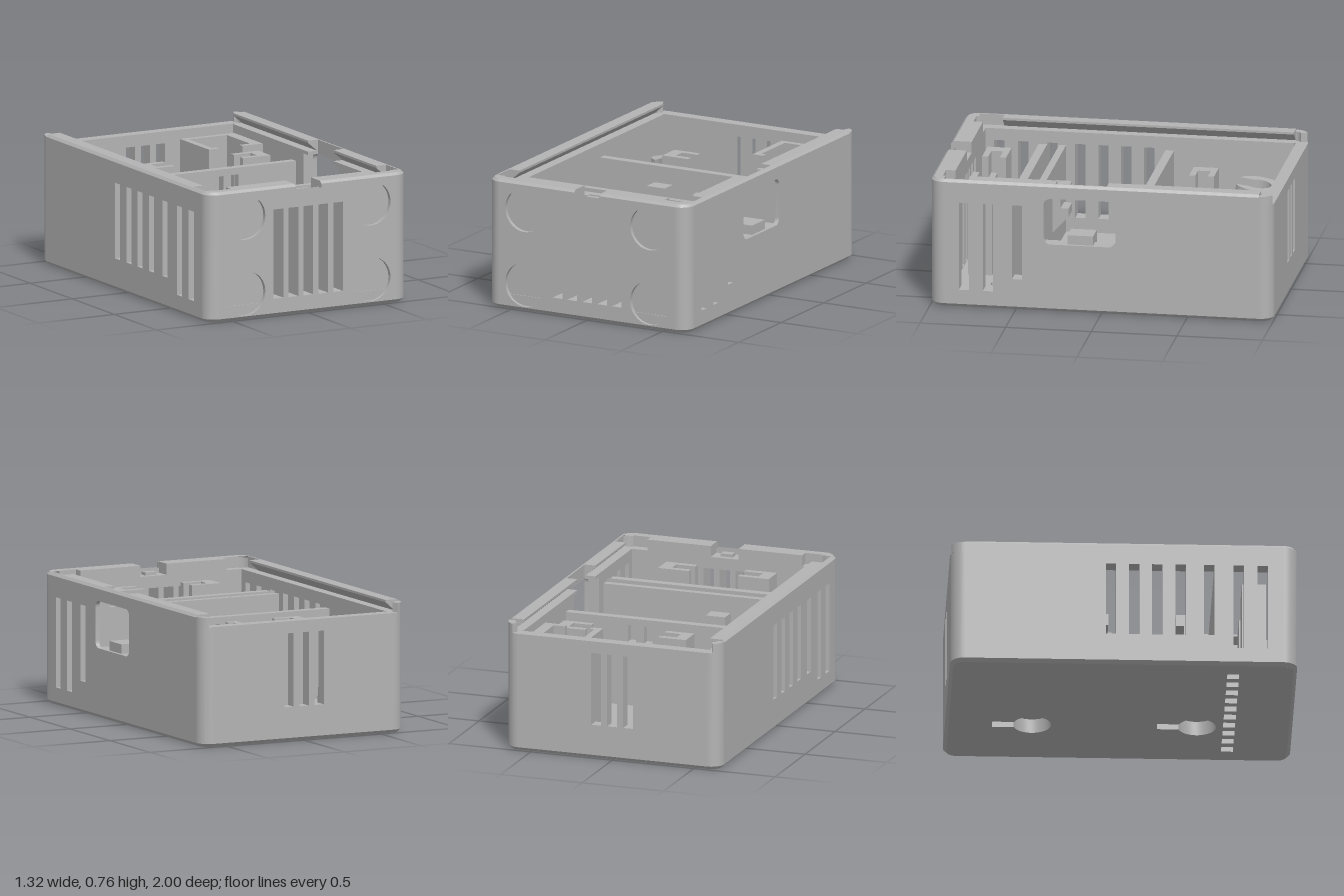
import * as THREE from 'three';
import { toCreasedNormals } from 'three/addons/utils/BufferGeometryUtils.js';

// Outline helpers
function rounded(P, x0, y0, x1, y1, r) {
  const p = new P();
  p.absarc(x1 - r, y0 + r, r, -Math.PI / 2, 0, false);
  p.absarc(x1 - r, y1 - r, r, 0, Math.PI / 2, false);
  p.absarc(x0 + r, y1 - r, r, Math.PI / 2, Math.PI, false);
  p.absarc(x0 + r, y0 + r, r, Math.PI, Math.PI * 1.5, false);
  p.closePath();
  return p;
}
const poly = (pts, P = THREE.Shape) => new P(pts.map(([a, b]) => new THREE.Vector2(a, b)));
const rect = (x0, y0, x1, y1, P) => poly([[x0, y0], [x1, y0], [x1, y1], [x0, y1]], P);
const hole = (x0, y0, x1, y1) => rect(x0, y0, x1, y1, THREE.Path);
function circle(x, y, r) {
  const p = new THREE.Path();
  p.absarc(x, y, r, 0, Math.PI * 2, false);
  return p;
}
function cut(shape, holes) { shape.holes.push(...holes); return shape; }

// Slabs: outline in (z,y), (x,z) or (x,y), thick along the remaining axis
const extrude = (s, d) => new THREE.ExtrudeGeometry(s, { depth: d, bevelEnabled: false, curveSegments: 20 });
const slabX = (s, x0, x1) => extrude(s, x1 - x0).rotateY(-Math.PI / 2).translate(x1, 0, 0);
const slabY = (s, y0, y1) => extrude(s, y1 - y0).rotateX(Math.PI / 2).translate(0, y1, 0);
const slabZ = (s, z0, z1) => extrude(s, z1 - z0).translate(0, 0, z0);
const box = (x0, x1, y0, y1, z0, z1) => slabZ(rect(x0, y0, x1, y1), z0, z1);

export function createModel() {
  const model = new THREE.Group();
  const grey = new THREE.MeshStandardMaterial({ color: 0xb3b3b3, side: THREE.DoubleSide });
  grey.name = 'greyPlastic';
  function add(name, geo, mirror = false) {
    const g = toCreasedNormals(geo, 0.6);
    for (const s of mirror ? [1, -1] : [1]) {
      const m = new THREE.Mesh(g, grey);
      m.name = name;
      m.scale.x = s;
      model.add(m);
    }
  }

  // Floor with a row of vents and two blind keyholes underneath
  const vents = () => Array.from({ length: 10 }, (_, i) => {
    const x = -0.495 + i * 0.11;
    return hole(x - 0.032, 0.6, x + 0.032, 0.67);
  });
  function keyhole(x, z) {
    const p = new THREE.Path();
    p.absarc(x, z, 0.11, -Math.PI / 2 + 0.32, Math.PI * 1.5 - 0.32, false);
    p.lineTo(x - 0.035, z - 0.23);
    p.lineTo(x + 0.035, z - 0.23);
    p.closePath();
    return p;
  }
  const base = () => rounded(THREE.Shape, -0.64, -0.98, 0.64, 0.98, 0.06);
  add('floorUnderside', slabY(cut(base(), [...vents(), keyhole(0.2, -0.5), keyhole(0.2, 0.45)]), 0, 0.085));
  add('floorTop', slabY(cut(rect(-0.6, -0.95, 0.6, 0.95), vents()), 0.085, 0.1));

  // Chamfer band between the floor outline and the walls
  const lower = base().getPoints(10);
  const upper = rounded(THREE.Shape, -0.66, -1, 0.66, 1, 0.08).getPoints(10);
  const pos = [], idx = [], n = lower.length;
  for (let i = 0; i < n; i++) {
    pos.push(lower[i].x, 0, lower[i].y, upper[i].x, 0.02, upper[i].y);
    const a = 2 * i, b = 2 * ((i + 1) % n);
    idx.push(a, a + 1, b, b, a + 1, b + 1);
  }
  const band = new THREE.BufferGeometry();
  band.setAttribute('position', new THREE.Float32BufferAttribute(pos, 3));
  band.setIndex(idx);
  band.computeVertexNormals();
  add('bottomChamfer', band);

  // Front wall: vent slots and four shallow round recesses
  const frontSlots = () => [-2, -1, 0, 1, 2].map(i => hole(i * 0.098 - 0.032, 0.105, i * 0.098 + 0.032, 0.63));
  const discs = [-0.412, 0.412].flatMap(x => [circle(x, 0.155, 0.129), circle(x, 0.6, 0.129)]);
  const frontPanel = () => rect(-0.58, 0.02, 0.58, 0.7);
  add('frontWallInner', slabZ(cut(frontPanel(), frontSlots()), 0.88, 0.975));
  add('frontWallOuter', slabZ(cut(frontPanel(), [...frontSlots(), ...discs]), 0.975, 1));
  const frontRim = z0 => poly([[z0, 0.7], [1, 0.7], [1, 0.75], [0.985, 0.765], [z0, 0.765]]);
  add('frontRim', slabX(frontRim(0.88), 0.085, 0.475), true);
  add('frontRimEnd', slabX(frontRim(0.935), 0.475, 0.58), true);
  add('lidCatch', box(-0.037, 0.037, 0.7, 0.718, 0.91, 0.955));

  // Back wall, lower than the sides so the lid can slide in
  const backSlots = [-1, 0, 1].map(i => hole(i * 0.098 - 0.03, 0.2, i * 0.098 + 0.03, 0.63));
  add('backWall', slabZ(cut(rect(-0.58, 0.02, 0.58, 0.7), backSlots), -1, -0.93));

  // Side walls with vent slots; the left one has a window
  const slots = zs => zs.map(z => hole(z - 0.03, z > 0.6 ? 0.105 : 0.185, z + 0.03, 0.63));
  const side = () => rect(-0.92, 0.02, 0.92, 0.7);
  const ventZ = [0.8, 0.66, 0.49];
  add('rightWall', slabX(cut(side(), slots([...ventZ, 0.327, 0.192, 0.06, -0.075])), -0.66, -0.57));
  const windowHole = rounded(THREE.Path, -0.085, 0.405, 0.335, 0.68, 0.04);
  add('leftWallOuter', slabX(cut(side(), [...slots(ventZ), windowHole]), 0.635, 0.66));
  const leftInner = poly([[-0.92, 0.02], [0.92, 0.02], [0.92, 0.7], [0.27, 0.7], [0.27, 0.68], [0.335, 0.68],
    [0.335, 0.405], [-0.085, 0.405], [-0.085, 0.68], [-0.03, 0.68], [-0.03, 0.7], [-0.92, 0.7]]);
  add('leftWallInner', slabX(cut(leftInner, slots(ventZ)), 0.57, 0.635));
  add('windowLedge', box(0.51, 0.64, 0.36, 0.46, 0.05, 0.2));

  // Dovetail lid rails and the thin rim beside them
  const rail = () => poly([[0.63, 0.7], [0.66, 0.7], [0.66, 0.75], [0.645, 0.765], [0.57, 0.765], [0.57, 0.752]]);
  const rim = () => poly([[0.635, 0.7], [0.66, 0.7], [0.66, 0.75], [0.645, 0.765], [0.635, 0.765]]);
  add('rightRail', slabZ(rail(), -0.92, 0.78).rotateZ(0).scale(1, 1, 1));
  model.children.at(-1).scale.x = -1;
  add('leftRailBack', slabZ(rail(), -0.92, -0.03));
  add('leftRailFront', slabZ(rail(), 0.27, 0.78));
  add('leftWindowRim', slabZ(rim(), -0.03, 0.27));
  add('frontSideRim', slabZ(rim(), 0.78, 0.92), true);

  // Rounded corners
  const corner = (pts, start) => new THREE.LatheGeometry(pts.map(([r, y]) => new THREE.Vector2(r, y)), 12, start, Math.PI / 2);
  add('frontCorner', corner([[0.08, 0.02], [0.08, 0.75], [0.065, 0.765], [0, 0.765]], 0).translate(0.58, 0, 0.92), true);
  add('backCorner', corner([[0.08, 0.02], [0.08, 0.7], [0, 0.7]], Math.PI / 2).translate(0.58, 0, -0.92), true);
  const tip = new THREE.Shape();
  tip.absarc(0.58, -0.92, 0.08, 0, -1.15, true);
  tip.absarc(0.58, -0.92, 0.04, -1.15, 0, false);
  add('backRailTip', slabY(tip, 0.7, 0.755), true);

  // Cross dividers
  const dividerSlots = [0.04, 0.14].map(x => hole(x, 0.48, x + 0.05, 0.58));
  add('rearDivider', slabZ(cut(rect(-0.57, 0.1, 0.57, 0.62), dividerSlots), -0.22, -0.17));
  add('middleDivider', box(-0.57, 0.57, 0.1, 0.62, 0.41, 0.45));
  add('frontDivider', box(-0.57, 0.57, 0.1, 0.62, 0.52, 0.57));

  // C-shaped board holders; the open side is at x1
  const clip = (x0, xn, x1, z0, z1) => poly([[x0, z0], [x1, z0], [x1, z0 + 0.036], [xn, z0 + 0.036],
    [xn, z1 - 0.036], [x1, z1 - 0.036], [x1, z1], [x0, z1]]);
  add('frontBoardHolder', slabY(clip(0.34, 0.265, 0.15, 0.69, 0.83), 0.1, 0.66), true);
  add('rearBoardHolder', slabY(clip(-0.28, -0.21, -0.11, -0.53, -0.385), 0.1, 0.62));
  add('rearBoardHolder', slabY(clip(0.52, 0.45, 0.34, -0.53, -0.385), 0.1, 0.62));

  // Hooks on the facing dividers
  const hook = (z0, z1) => poly([[z0, 0.24], [z1, 0.34], [z1, 0.39], [(z0 + z1) / 2, 0.39],
    [(z0 + z1) / 2, 0.45], [z1, 0.45], [z1, 0.52], [z0, 0.52]]);
  add('rearHook', slabX(hook(-0.17, -0.075), -0.21, -0.09));
  add('frontHook', slabX(hook(0.41, 0.315), -0.21, -0.09));

  // Leaning slotted tube in the back right
  const tube = new THREE.Shape();
  tube.absarc(0, 0, 0.135, Math.PI / 2 + 0.5, Math.PI * 2.5 - 0.5, false);
  tube.absarc(0, 0, 0.077, Math.PI * 2.5 - 1, Math.PI / 2 + 1, true);
  tube.closePath();
  add('leaningTube', slabY(tube, -0.4, 0).rotateX(-0.12).translate(-0.395, 0.5, -0.74));

  // Open-fronted pocket in the back left
  const pocket = poly([[0.215, -0.91], [0.575, -0.91], [0.575, -0.565], [0.435, -0.565], [0.435, -0.6], [0.505, -0.6],
    [0.505, -0.875], [0.255, -0.875], [0.255, -0.6], [0.285, -0.6], [0.285, -0.565], [0.215, -0.565]]);
  add('pocket', slabY(pocket, 0.1, 0.65));
  add('pocketStep', box(0.255, 0.505, 0.1, 0.3, -0.875, -0.71));

  return model;
}
